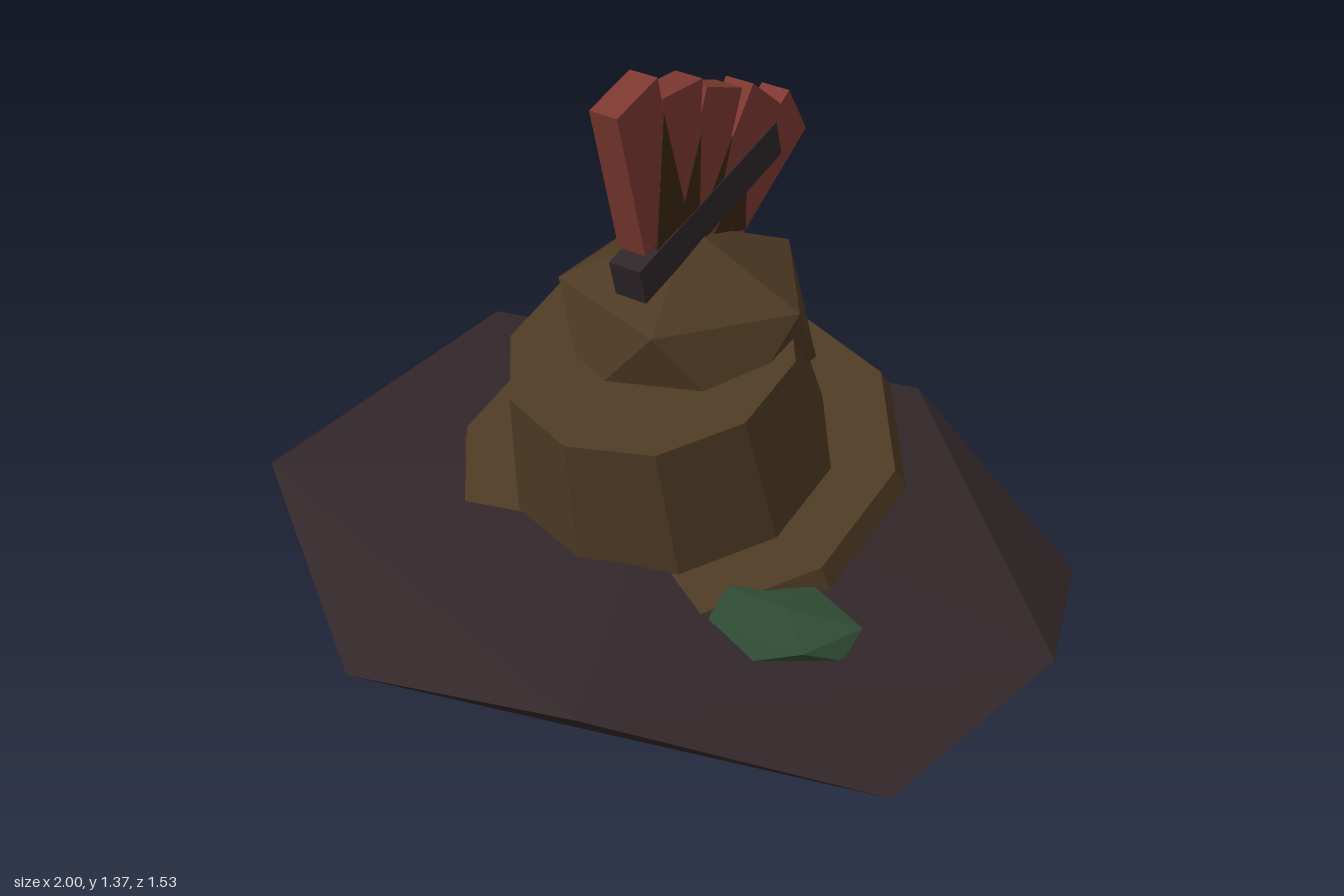
import * as THREE from 'three';

const paint = (name, color) => {
  const m = new THREE.MeshStandardMaterial({ color, flatShading: true });
  m.name = name;
  return m;
};
const deg = THREE.MathUtils.degToRad;

// Twenty-faced stone: top point, upper ring of 5, lower ring of 5, bottom point
function stoneGeometry(top, upper, lower, bottom) {
  const pos = [];
  const tri = (a, b, c) => pos.push(...a, ...b, ...c);
  for (let k = 0; k < 5; k++) {
    const n = (k + 1) % 5;
    tri(top, upper[n], upper[k]);
    tri(upper[k], upper[n], lower[k]);
    tri(upper[n], lower[n], lower[k]);
    tri(bottom, lower[k], lower[n]);
  }
  const g = new THREE.BufferGeometry();
  g.setAttribute('position', new THREE.Float32BufferAttribute(pos, 3));
  g.computeVertexNormals();
  return g;
}

// Regular stone with its own horizontal and vertical radii
function regularStone(rx, ry, rz) {
  const ring = (start, y) => Array.from({ length: 5 }, (_, k) => {
    const a = deg(start + k * 72);
    return [Math.cos(a) * rx * 0.894, y * ry, Math.sin(a) * rz * 0.894];
  });
  return stoneGeometry([0, ry, 0], ring(0, 0.447), ring(36, -0.447), [0, -ry, 0]);
}

export function createModel() {
  const model = new THREE.Group();
  const rock = paint('dark rock', 0x322629);
  const brown = paint('weathered brown', 0x4e3a24);
  const red = paint('crest red', 0x7d3831);
  const umber = paint('dark umber', 0x38260f);
  const iron = paint('dark iron', 0x2f2628);
  const green = paint('moss green', 0x2f4c35);

  const add = (name, geometry, material, x, y, z, tilt = 0, parent = model) => {
    const m = new THREE.Mesh(geometry, material);
    m.name = name;
    m.position.set(x, y, z);
    m.rotation.x = deg(tilt);
    parent.add(m);
    return m;
  };

  // Uneven ground slab
  add('groundRock', stoneGeometry(
    [0, 0.345, 0],
    [[1, 0.25, -0.01], [0.29, 0.255, 0.73], [-0.85, 0.265, 0.4], [-0.85, 0.27, -0.46], [0.24, 0.27, -0.76]],
    [[0.86, 0.11, 0.42], [-0.31, 0.115, 0.76], [-1, 0.12, -0.02], [-0.32, 0.1, -0.77], [0.81, 0.11, -0.5]],
    [0, 0, -0.09]), rock, 0, 0, 0);

  // Tilted lower helmet, sunk into the rock at the front
  const helmet = new THREE.Group();
  helmet.name = 'tiltedHelmet';
  helmet.rotation.x = deg(15);
  model.add(helmet);
  add('brim', new THREE.CylinderGeometry(0.515, 0.535, 0.055, 10), brown, 0, 0.333, -0.148, 0, helmet);
  add('crown', new THREE.CylinderGeometry(0.33, 0.387, 0.425, 10), brown, 0, 0.477, -0.135, 0, helmet);

  // Faceted dome
  add('dome', regularStone(0.325, 0.235, 0.32), brown, 0, 0.71, -0.1);

  // Fan of crest plates: top centre (z, y) and lean of each
  const crest = new THREE.Group();
  crest.name = 'crest';
  model.add(crest);
  const length = 0.37;
  [[0.14, 1.35, 15], [-0.022, 1.31, -3.5], [-0.18, 1.253, -21], [-0.35, 1.173, -39], [-0.48, 1.085, -58]]
    .forEach(([z, y, lean], i) => {
      const a = deg(lean);
      // tiny width steps keep overlapping plates from sharing a surface
      add('crestPlate', new THREE.BoxGeometry(0.07 + i * 0.0006, length, 0.147), red,
        0, y - Math.cos(a) * length / 2, z - Math.sin(a) * length / 2, lean, crest);
    });

  // Dark wedges where neighbouring plates meet, as (z, y) corners
  [[[0.05, 1.28], [0.075, 0.97], [-0.04, 1.0]],
    [[-0.088, 1.18], [-0.005, 0.99], [-0.085, 1.0]],
    [[-0.21, 1.125], [-0.1, 0.98], [-0.16, 0.98]],
    [[-0.27, 1.03], [-0.14, 0.91], [-0.27, 0.87]]].forEach((corners) => {
    const shape = new THREE.Shape(corners.map(([z, y]) => new THREE.Vector2(-z, y)));
    const g = new THREE.ExtrudeGeometry(shape, { depth: 0.076, bevelEnabled: false });
    g.translate(0, 0, -0.038);
    g.rotateY(Math.PI / 2);
    add('crestWedge', g, umber, 0, 0, 0, 0, crest);
  });

  // Iron clamp holding the crest
  add('crestClamp', new THREE.BoxGeometry(0.08, 0.09, 0.548), iron, 0, 0.976, -0.133, 15, crest);

  // Moss clump beside the brim
  const moss = add('mossClump', regularStone(0.185, 0.042, 0.135), green, 0.49, 0.287, 0.25);
  moss.rotation.set(0.03, 0.45, -0.08);

  return model;
}
